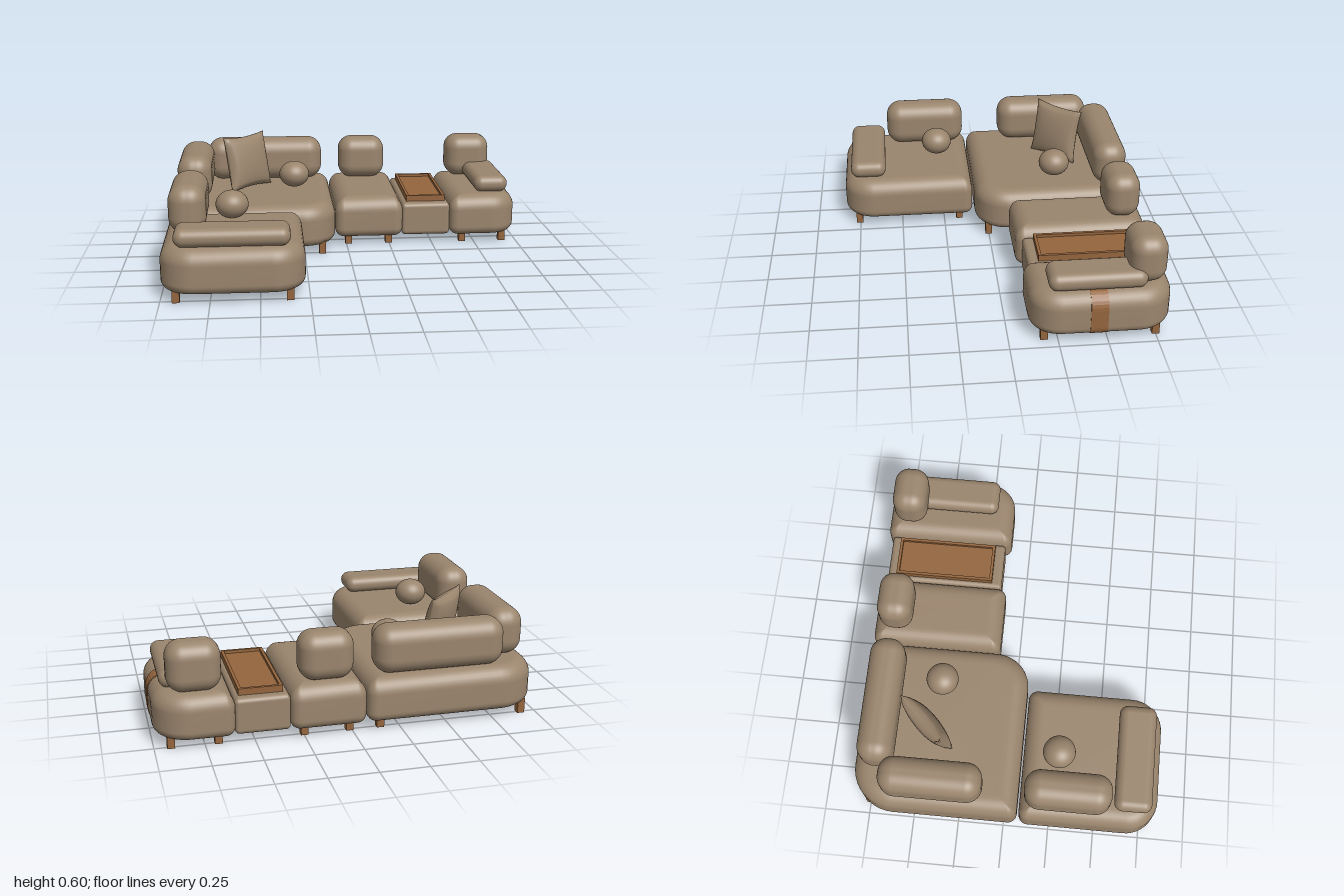
import * as THREE from 'three';
import { mergeVertices } from 'three/addons/utils/BufferGeometryUtils.js';
import { RoundedBoxGeometry } from 'three/addons/geometries/RoundedBoxGeometry.js';

const fabric = new THREE.MeshStandardMaterial({ color: 0x9a856d });
fabric.name = 'taupe fabric';
const wood = new THREE.MeshStandardMaterial({ color: 0x94653d });
wood.name = 'brown wood';

// Side profile of an upholstered block: [inset, y] pairs from bottom to top
function edgeProfile(y0, y1, rBottom, rTop, steps = 8) {
  const pts = [];
  for (let i = 0; i <= steps; i++) {
    const a = (i / steps) * Math.PI / 2;
    pts.push([rBottom * (1 - Math.sin(a)), y0 + rBottom * (1 - Math.cos(a))]);
  }
  for (let i = 0; i <= steps; i++) {
    const a = (i / steps) * Math.PI / 2;
    pts.push([rTop * (1 - Math.cos(a)), y1 - rTop * (1 - Math.sin(a))]);
  }
  return pts;
}

// Block with its own plan radius at each corner.
// radii order: (+x,+z), (-x,+z), (-x,-z), (+x,-z)
function blockGeometry(x0, x1, z0, z1, radii, profile) {
  const first = profile[0], last = profile[profile.length - 1];
  const rings = [[first[0] + 0.02, first[1]], ...profile, [last[0] + 0.02, last[1]]];
  const signs = [[1, 1], [-1, 1], [-1, -1], [1, -1]];
  const seg = 10, n = 4 * (seg + 1), pos = [], idx = [];
  for (const [d, y] of rings) {
    signs.forEach(([sx, sz], k) => {
      const r = Math.max(radii[k] - d, 0.004);
      const cx = sx > 0 ? x1 - d - r : x0 + d + r;
      const cz = sz > 0 ? z1 - d - r : z0 + d + r;
      for (let i = 0; i <= seg; i++) {
        const a = (k + i / seg) * Math.PI / 2;
        pos.push(cx + r * Math.cos(a), y, cz + r * Math.sin(a));
      }
    });
  }
  const bottom = rings.length * n, top = bottom + 1, lastRing = (rings.length - 1) * n;
  pos.push((x0 + x1) / 2, first[1], (z0 + z1) / 2, (x0 + x1) / 2, last[1], (z0 + z1) / 2);
  for (let j = 0; j < n; j++) {
    const k = (j + 1) % n;
    for (let i = 0; i < rings.length - 1; i++) {
      const a = i * n + j, b = i * n + k;
      idx.push(a, a + n, b, b, a + n, b + n);
    }
    idx.push(bottom, j, k, top, lastRing + k, lastRing + j);
  }
  const g = new THREE.BufferGeometry();
  g.setAttribute('position', new THREE.Float32BufferAttribute(pos, 3));
  g.setIndex(idx);
  g.computeVertexNormals();
  return g;
}

// Square scatter cushion with pinched corners and thin edges
function pillowGeometry(size, thick) {
  let g = new THREE.BoxGeometry(2, 2, 2, 20, 20, 1);
  g.deleteAttribute('uv');
  g.deleteAttribute('normal');
  g = mergeVertices(g);
  const p = g.attributes.position;
  for (let i = 0; i < p.count; i++) {
    const u = p.getX(i), v = p.getY(i), s = Math.sign(p.getZ(i));
    const puff = Math.pow(Math.max(0, (1 - u * u) * (1 - v * v)), 0.4);
    p.setXYZ(i,
      u * size / 2 * (1 - 0.08 * (1 - v * v)),
      v * size / 2 * (1 - 0.08 * (1 - u * u)),
      s * (0.004 + thick / 2 * puff));
  }
  g.computeVertexNormals();
  return g;
}

export function createModel() {
  const model = new THREE.Group();
  const add = (name, geometry, material) => {
    const m = new THREE.Mesh(geometry, material);
    m.name = name;
    model.add(m);
    return m;
  };
  const bolster = (name, x0, x1, y0, y1, z0, z1, r) =>
    add(name, new RoundedBoxGeometry(x1 - x0, y1 - y0, z1 - z0, 7, r), fabric)
      .position.set((x0 + x1) / 2, (y0 + y1) / 2, (z0 + z1) / 2);

  // Seat modules
  const seat = edgeProfile(0.05, 0.285, 0.05, 0.085);
  add('cornerSeat', blockGeometry(-1, -0.07, -0.833, 0.073, [0.19, 0.05, 0.22, 0.05], seat), fabric);
  add('middleSeat', blockGeometry(-0.066, 0.325, -0.833, -0.105, [0.05, 0.05, 0.05, 0.05], seat), fabric);
  add('endSeat', blockGeometry(0.6, 0.997, -0.833, -0.105, [0.16, 0.05, 0.05, 0.18], seat), fabric);
  add('chaiseSeat', blockGeometry(-1, -0.27, 0.083, 0.83, [0.17, 0.17, 0.05, 0.05], seat), fabric);
  add('tableBlock', blockGeometry(0.323, 0.602, -0.802, -0.138, [0.02, 0.02, 0.02, 0.02],
    edgeProfile(0.05, 0.24, 0.025, 0.025)), fabric);

  // Backrests
  bolster('cornerBackrest', -0.81, -0.12, 0.28, 0.532, -0.8, -0.608, 0.085);
  bolster('cornerSideBackrest', -0.965, -0.77, 0.28, 0.535, -0.67, -0.118, 0.085);
  bolster('middleBackrest', -0.012, 0.268, 0.28, 0.532, -0.8, -0.608, 0.08);
  bolster('endBackrest', 0.655, 0.925, 0.28, 0.535, -0.8, -0.608, 0.08);
  bolster('chaiseBackrest', -0.965, -0.77, 0.28, 0.535, 0.105, 0.57, 0.085);

  // Low armrests
  bolster('chaiseArmrest', -0.925, -0.345, 0.28, 0.375, 0.588, 0.79, 0.046);
  bolster('endArmrest', 0.758, 0.955, 0.28, 0.375, -0.695, -0.198, 0.046);

  // Round cushions
  for (const [x, z] of [[-0.295, -0.397], [-0.645, 0.275]]) {
    const ball = add('roundCushion', new THREE.SphereGeometry(0.088, 32, 20), fabric);
    ball.scale.y = 0.86;
    ball.position.set(x, 0.37, z);
  }

  // Square cushion, turned to the inner corner and leaning back
  const pillow = add('squareCushion', pillowGeometry(0.32, 0.105), fabric);
  pillow.rotation.set(-0.2, Math.PI / 4, 0, 'YXZ');
  pillow.position.set(-0.57, 0.44, -0.447);

  // Tray: rim with a recessed panel
  const [tx, tz, tw, td, rim] = [0.465, -0.472, 0.225, 0.556, 0.016];
  const rect = (shape, w, d) => shape.moveTo(-w, -d).lineTo(w, -d).lineTo(w, d).lineTo(-w, d).closePath();
  const frame = rect(new THREE.Shape(), tw / 2, td / 2);
  frame.holes.push(rect(new THREE.Path(), tw / 2 - rim, td / 2 - rim));
  const trayRim = add('trayRim', new THREE.ExtrudeGeometry(frame, { depth: 0.038, bevelEnabled: false }), wood);
  trayRim.rotation.x = -Math.PI / 2;
  trayRim.position.set(tx, 0.236, tz);
  add('trayPanel', new THREE.BoxGeometry(tw - 2 * rim, 0.022, td - 2 * rim), wood)
    .position.set(tx, 0.247, tz);

  // Strap wrapped round the outer side of the end module
  const strap = edgeProfile(0.047, 0.288, 0.053, 0.088).map(([d, y]) => new THREE.Vector2(1 - d, y));
  strap.unshift(new THREE.Vector2(0.84, 0.047));
  strap.push(new THREE.Vector2(0.84, 0.288));
  add('sideStrap', new THREE.ExtrudeGeometry(new THREE.Shape(strap), { depth: 0.088, bevelEnabled: false }), wood)
    .position.z = -0.49;

  // Legs: four under each seat module
  const legGeometry = new THREE.BoxGeometry(0.038, 0.08, 0.038);
  for (const [xs, zs] of [
    [[-0.92, -0.15], [-0.75, 0]],
    [[0.012, 0.247], [-0.75, -0.18]],
    [[0.682, 0.917], [-0.75, -0.18]],
    [[-0.92, -0.35], [0.16, 0.755]],
  ]) for (const x of xs) for (const z of zs) add('leg', legGeometry, wood).position.set(x, 0.04, z);

  return model;
}
